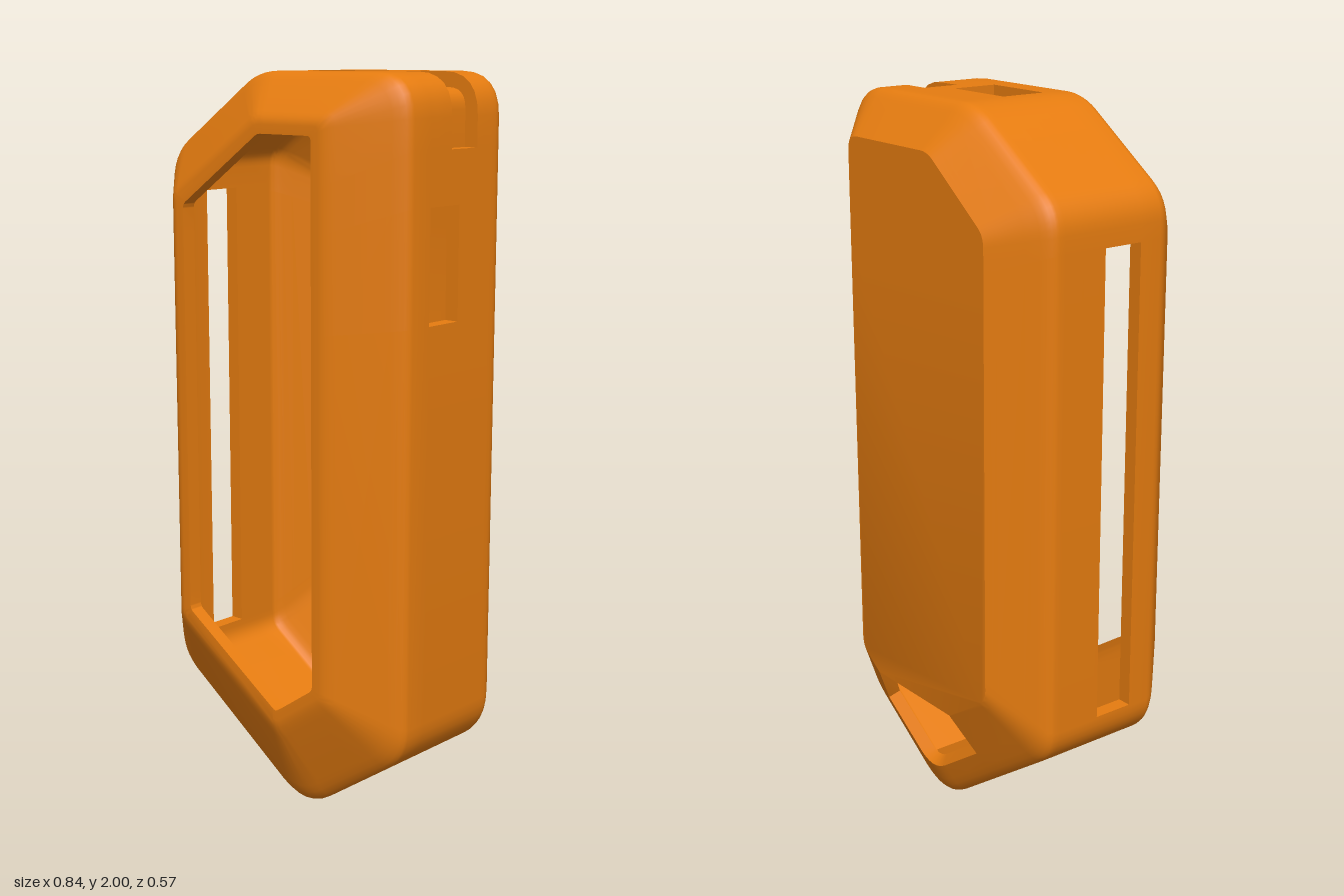
import * as THREE from 'three';
import { toCreasedNormals } from 'three/addons/utils/BufferGeometryUtils.js';

// Outlines: six corners [x, y, rounding], counter-clockwise from the bottom tip
const WINDOW = [[0.05, 0.29, 0.012], [0.185, 0.385, 0.012], [0.185, 1.845, 0.012],
  [0, 1.845, 0.012], [-0.28, 1.65, 0.012], [-0.28, 0.51, 0.012]];
const SIDE = [[0.06, -0.028, 0.1], [0.42, 0.22, 0.08], [0.42, 2, 0.11],
  [-0.1, 2, 0.06], [-0.42, 1.78, 0.065], [-0.42, 0.31, 0.065]];
const BACK = [[0.06, 0.23, 0.03], [0.32, 0.39, 0.04], [0.32, 1.885, 0.04],
  [-0.04, 1.885, 0.03], [-0.27, 1.71, 0.03], [-0.27, 0.45, 0.03]];

// Column lines on each edge that border the openings (edge, axis, position)
const MARKS = [[0, 0, 0.145], [0, 0, 0.308], [1, 1, 1.37], [1, 1, 1.67], [1, 1, 1.81],
  [2, 0, 0.24], [2, 0, 0.18], [2, 0, -0.03], [4, 1, 1.67], [4, 1, 0.38], [5, 0, -0.18], [5, 0, -0.1]];
// Depth lines along the side walls that border the openings
const DEPTHS = [0.097, 0.07, 0.015, -0.02, -0.035, -0.09, -0.15];
const ARC = 6;

const mix = (a, b, t) => a + (b - a) * t;

// Shrinks an outline by d, scaling its corner rounding
function inset(c, d, k = 1) {
  const n = c.length;
  const normal = (p, q) => {
    const l = Math.hypot(q[0] - p[0], q[1] - p[1]);
    return [-(q[1] - p[1]) / l, (q[0] - p[0]) / l];
  };
  return c.map((p, i) => {
    const a = normal(c[(i + n - 1) % n], p), b = normal(p, c[(i + 1) % n]);
    const s = d / (1 + a[0] * b[0] + a[1] * b[1]);
    return [p[0] + (a[0] + b[0]) * s, p[1] + (a[1] + b[1]) * s, p[2] * k];
  });
}

const blend = (A, B, t) => ({
  c: A.c.map((p, i) => p.map((v, k) => mix(v, B.c[i][k], t))),
  z: mix(A.z, B.z, t),
});

// Rounds the profile at K between two neighbouring sections
function soften(A, K, B, ta, tb, steps = 4) {
  const s = blend(K, A, ta), e = blend(K, B, tb);
  return Array.from({ length: steps + 1 }, (_, i) => {
    const t = i / steps;
    return blend(blend(s, K, t), blend(K, e, t), t);
  });
}

// All points of one section, with rounded corners and marked columns
function ringPoints(sec) {
  const pts = [], n = sec.c.length;
  sec.c.forEach((p, i) => {
    const q = sec.c[(i + 1) % n], o = sec.c[(i + n - 1) % n];
    const toward = (w) => {
      const l = Math.hypot(w[0] - p[0], w[1] - p[1]);
      return [mix(p[0], w[0], p[2] / l), mix(p[1], w[1], p[2] / l)];
    };
    const a = toward(o), b = toward(q);
    for (let k = 0; k <= ARC; k++) {
      const t = k / ARC, u = 1 - t;
      pts.push(new THREE.Vector3(
        u * u * a[0] + 2 * u * t * p[0] + t * t * b[0],
        u * u * a[1] + 2 * u * t * p[1] + t * t * b[1], sec.z));
    }
    for (const [edge, axis, value] of MARKS) {
      if (edge !== i) continue;
      const from = (sec.straight ? p : SIDE[i])[axis], to = (sec.straight ? q : SIDE[(i + 1) % n])[axis];
      const t = (value - from) / (to - from);
      pts.push(new THREE.Vector3(mix(p[0], q[0], t), mix(p[1], q[1], t), sec.z));
    }
  });
  return pts;
}

const column = (m) => (MARKS[m][0] + 1) * (ARC + 1) + m;

// Sections from the window rim, over the front bevel and side walls, to the back face
function skin(front, face, side, back, zs) {
  const W = { c: front, z: zs[0] }, F = { c: face, z: zs[0] };
  const M1 = { c: side, z: zs[1] }, M2 = { c: side, z: zs[2] }, B = { c: back, z: zs[3] };
  return [
    W, ...soften(W, F, M1, 0.4, 0.15), ...soften(F, M1, M2, 0.2, 0.05),
    ...DEPTHS.map((z) => ({ c: side, z, straight: true })),
    ...soften(M1, M2, B, 0.05, 0.2), blend(M2, B, 0.4),
    ...soften(M2, B, B, 0.2, 0),
  ];
}

function caseGeometry() {
  const face = inset(WINDOW, -0.04, 1.6);
  const outerSecs = skin(WINDOW, face, SIDE, BACK, [0.283, 0.18, -0.185, -0.285]);
  const innerSecs = skin(WINDOW, inset(face, 0.012), inset(SIDE, 0.04, 0.5), inset(BACK, 0.012),
    [0.243, 0.165, -0.17, -0.245]);
  const outer = outerSecs.map(ringPoints), inner = innerSecs.map(ringPoints);
  const rows = outer.length - 1, cols = outer[0].length;

  const depth = (z) => outerSecs.findIndex((s) => s.straight && s.z === z);
  const opening = (m0, m1, r0, r1) => ({ c0: column(m0), span: (column(m1) - column(m0) + cols) % cols, r0, r1 });
  const lip = rows - 5;
  const backHole = opening(10, 1, lip, rows + 1);
  const holes = [
    opening(2, 3, depth(0.097), depth(-0.02)),   // button hole
    opening(6, 7, depth(0.097), depth(-0.035)),  // top port
    opening(8, 9, depth(0.097), depth(-0.02)),   // long side slot
    opening(11, 0, depth(0.07), depth(-0.15)),   // bottom port
    backHole,                                    // strap hole at the back tip
  ];
  const groove = opening(4, 5, depth(0.015), depth(-0.09)); // corner groove, keeps its floor
  const within = (h, i, j) => i >= h.r0 && i < h.r1 && (j - h.c0 + cols) % cols < h.span;
  const hasInner = (i, j) => i >= 0 && !holes.some((h) => within(h, i, j));
  const hasOuter = (i, j) => hasInner(i, j) && !within(groove, i, j);

  const pos = [];
  const tri = (...p) => p.forEach((v) => pos.push(v.x, v.y, v.z));
  const quad = (a, b, c, d) => { tri(a, b, c); tri(a, c, d); };

  for (let i = 0; i < rows; i++) {
    for (let j = 0; j < cols; j++) {
      const k = (j + 1) % cols, h = (j + cols - 1) % cols;
      if (hasInner(i, j)) quad(inner[i][j], inner[i][k], inner[i + 1][k], inner[i + 1][j]);
      if (!hasOuter(i, j)) continue;
      quad(outer[i][j], outer[i + 1][j], outer[i + 1][k], outer[i][k]);
      // Wall thickness wherever the neighbouring cell is open
      const wall = (r, s, r2, s2) => quad(outer[r2][s2], outer[r][s], inner[r][s], inner[r2][s2]);
      if (!hasOuter(i, h)) wall(i, j, i + 1, j);
      if (!hasOuter(i + 1, j)) wall(i + 1, j, i + 1, k);
      if (!hasOuter(i, k)) wall(i + 1, k, i, k);
      if (!hasOuter(i - 1, j)) wall(i, k, i, j);
    }
  }

  // Back face, cut straight across above the strap hole
  const first = (backHole.c0 + backHole.span) % cols, kept = cols - backHole.span + 1;
  const order = Array.from({ length: kept }, (_, n) => (first + n) % cols);
  for (const [ring, flip] of [[outer[rows], true], [inner[rows], false]]) {
    const pts = order.map((j) => ring[j]);
    const faces = THREE.ShapeUtils.triangulateShape(pts.map((p) => new THREE.Vector2(p.x, p.y)), []);
    for (const [a, b, c] of faces) flip ? tri(pts[a], pts[c], pts[b]) : tri(pts[a], pts[b], pts[c]);
  }
  const s = order[0], e = order[kept - 1];
  quad(outer[rows][e], outer[rows][s], inner[rows][s], inner[rows][e]);

  const g = new THREE.BufferGeometry();
  g.setAttribute('position', new THREE.Float32BufferAttribute(pos, 3));
  g.computeVertexNormals();
  return toCreasedNormals(g, 0.55);
}

export function createModel() {
  const orange = new THREE.MeshStandardMaterial({ color: 0xe67c10, side: THREE.DoubleSide });
  orange.name = 'orange';
  const shell = new THREE.Mesh(caseGeometry(), orange);
  shell.name = 'protectiveCase';
  const group = new THREE.Group();
  group.name = 'deviceCase';
  group.add(shell);
  return group;
}
